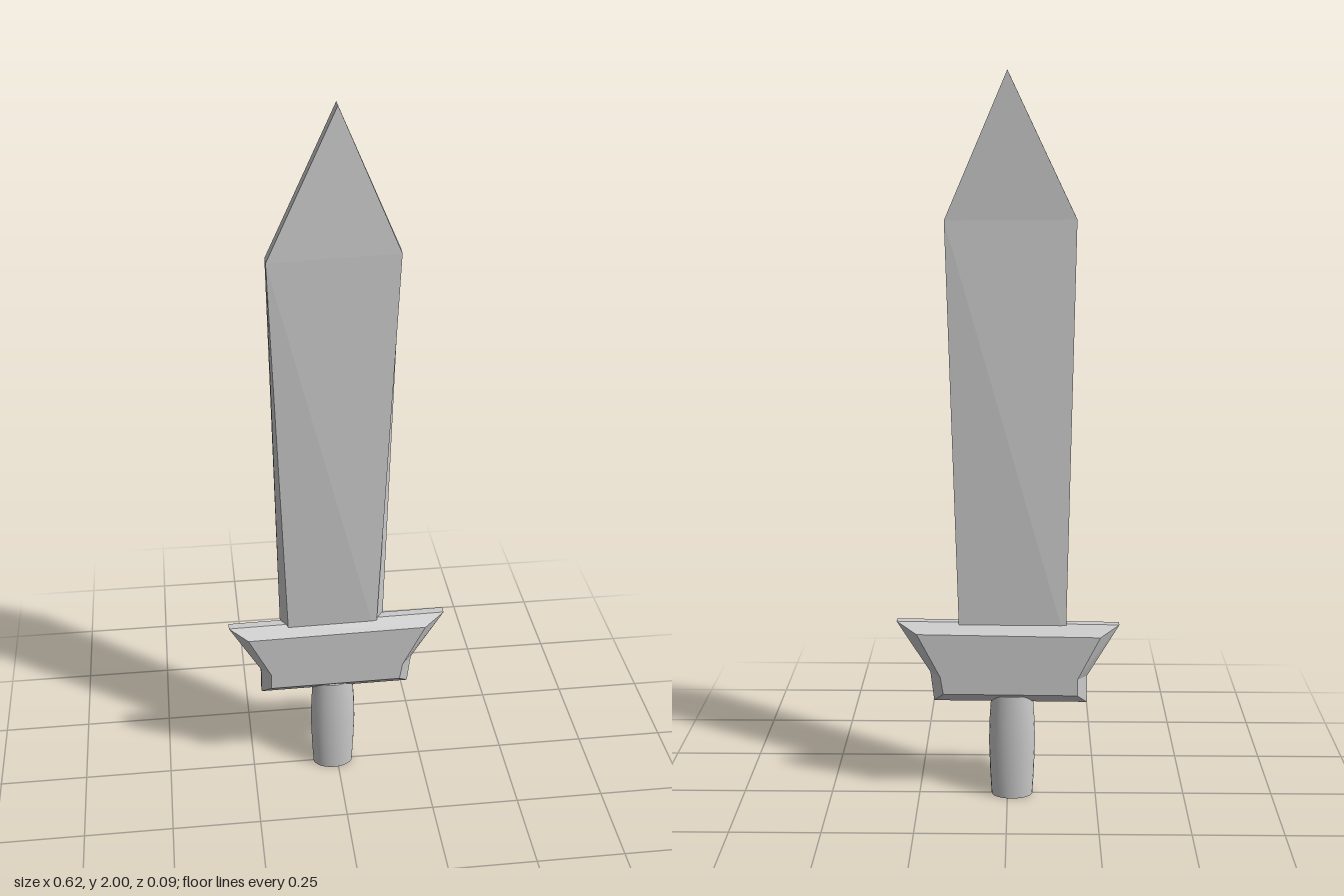
import * as THREE from 'three';
import { toCreasedNormals } from 'three/addons/utils/BufferGeometryUtils.js';

const material = new THREE.MeshStandardMaterial({ color: 0xcccccc, flatShading: true });
const smoothMaterial = new THREE.MeshStandardMaterial({ color: 0xcccccc });

// Joins outlines ordered front to back. Each runs up the +x side, then down the -x side,
// so the two end faces are filled by pairing opposite points like rungs of a ladder.
function loft(name, outlines) {
  const n = outlines[0].length;
  const index = [];
  const quad = (a, b, c, d) => index.push(a, b, c, a, c, d);
  for (let k = 0; k < outlines.length - 1; k++) {
    for (let i = 0; i < n; i++) {
      const j = (i + 1) % n;
      quad(k * n + i, (k + 1) * n + i, (k + 1) * n + j, k * n + j);
    }
  }
  const last = (outlines.length - 1) * n;
  for (let i = 0; i < n / 2 - 1; i++) {
    quad(i, i + 1, n - 2 - i, n - 1 - i);
    quad(last + n - 1 - i, last + n - 2 - i, last + i + 1, last + i);
  }
  const geometry = new THREE.BufferGeometry();
  geometry.setAttribute('position', new THREE.Float32BufferAttribute(outlines.flat(2), 3));
  geometry.setIndex(index);
  const flat = geometry.toNonIndexed();
  flat.computeVertexNormals();
  const mesh = new THREE.Mesh(flat, material);
  mesh.name = name;
  return mesh;
}

export function createModel() {
  const group = new THREE.Group();
  group.name = 'sword';

  // Blade: slightly twisted, flaring to the shoulders and closing to a tip
  group.add(loft('blade', [
    [[0.11, 0.46, 0.018], [0.163, 1.62, 0.018], [0, 2, 0.018],
      [0, 2, 0.018], [-0.183, 1.62, 0.045], [-0.14, 0.46, 0.018]],
    [[0.133, 0.46, -0.018], [0.165, 1.62, -0.018], [0, 2, -0.018],
      [0, 2, -0.018], [-0.183, 1.62, 0.008], [-0.162, 0.46, -0.016]],
  ]));

  // Guard: winged block with a bevel on both faces
  const rim = [[0.205, 0.285], [0.215, 0.37], [0.307, 0.518],
    [-0.31, 0.51], [-0.222, 0.36], [-0.222, 0.282]];
  const face = [[0.178, 0.315], [0.186, 0.365], [0.25, 0.49],
    [-0.257, 0.483], [-0.195, 0.36], [-0.195, 0.312]];
  const at = (outline, z) => outline.map(([x, y]) => [x, y, z]);
  group.add(loft('guard', [at(face, 0.042), at(rim, 0.012), at(rim, -0.012), at(face, -0.042)]));

  // Grip: oval, swelling a little in the middle
  const profile = [[0, 0], [0.058, 0], [0.062, 0.07], [0.065, 0.16],
    [0.063, 0.23], [0.058, 0.305], [0, 0.325]].map(([r, y]) => new THREE.Vector2(r, y));
  const gripGeometry = new THREE.LatheGeometry(profile, 24);
  gripGeometry.scale(1, 1, 0.69);
  const grip = new THREE.Mesh(toCreasedNormals(gripGeometry, 0.6), smoothMaterial);
  grip.name = 'grip';
  grip.position.x = -0.013;
  group.add(grip);

  return group;
}
